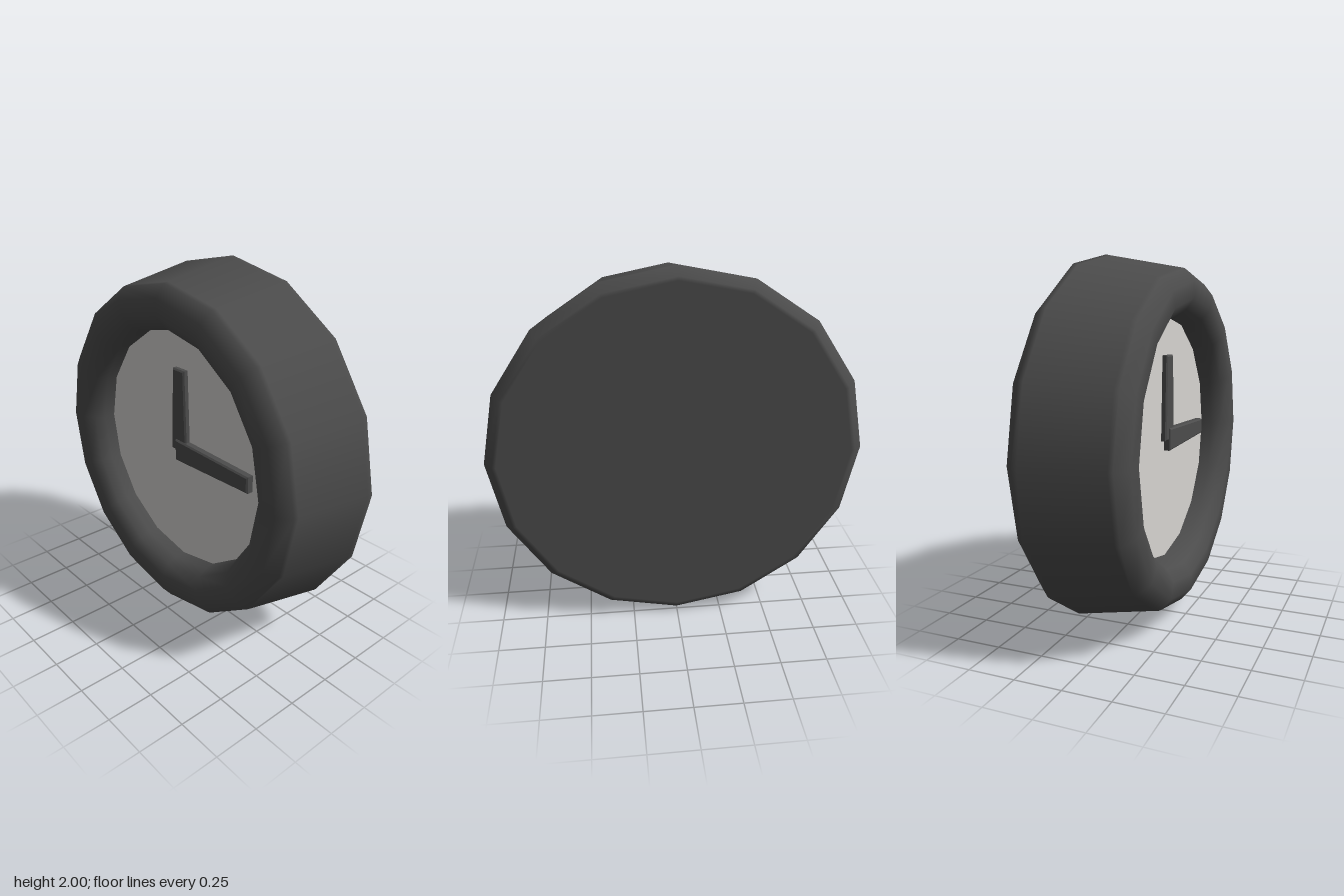
import * as THREE from 'three';

const SIDES = 16;
const FACE_Z = 0.12;

// Tapered hand pointing along +x, with slightly bevelled edges
function makeHand(name, start, end, startHalf, endHalf, depth, material) {
  const shape = new THREE.Shape([
    new THREE.Vector2(start, -startHalf),
    new THREE.Vector2(end, -endHalf),
    new THREE.Vector2(end, endHalf),
    new THREE.Vector2(start, startHalf),
  ]);
  const bevel = 0.008;
  const geometry = new THREE.ExtrudeGeometry(shape, {
    depth: depth - bevel,
    bevelEnabled: true,
    bevelSize: bevel,
    bevelOffset: -bevel,
    bevelThickness: bevel,
    bevelSegments: 1,
  });
  const hand = new THREE.Mesh(geometry, material);
  hand.name = name;
  hand.position.z = FACE_Z;
  return hand;
}

export function createModel() {
  const dark = new THREE.MeshStandardMaterial({ color: 0x4c4c4c });
  dark.name = 'charcoal';
  const pale = new THREE.MeshStandardMaterial({ color: 0xd6d4d1 });
  pale.name = 'pale grey';

  const clock = new THREE.Group();
  clock.name = 'wallClock';

  // Casing: flat back, flared side, rounded front rim and inner wall (radius, z)
  const profile = [
    [0, -0.28], [0.935, -0.28], [0.955, -0.28], [1, -0.23],
    [0.995, -0.205], [0.92, 0.2], [0.915, 0.225], [0.85, 0.28],
    [0.76, 0.28], [0.7, 0.235], [0.675, 0.18], [0.667, FACE_Z - 0.01],
  ].map(([r, z]) => new THREE.Vector2(r, z));
  const casing = new THREE.Mesh(new THREE.LatheGeometry(profile, SIDES).rotateX(Math.PI / 2), dark);
  casing.name = 'casing';
  clock.add(casing);

  // Dial
  const dial = new THREE.Mesh(new THREE.CircleGeometry(0.67, SIDES), pale);
  dial.name = 'dial';
  dial.position.z = FACE_Z;
  clock.add(dial);

  // Hands showing three o'clock
  const hourHand = makeHand('uprightHand', -0.005, 0.46, 0.062, 0.046, 0.03, dark);
  hourHand.rotation.z = Math.PI / 2;
  const minuteHand = makeHand('sidewaysHand', -0.02, 0.545, 0.062, 0.045, 0.04, dark);
  clock.add(hourHand, minuteHand);

  clock.position.y = 1;
  const model = new THREE.Group();
  model.name = 'clock';
  model.add(clock);
  return model;
}
